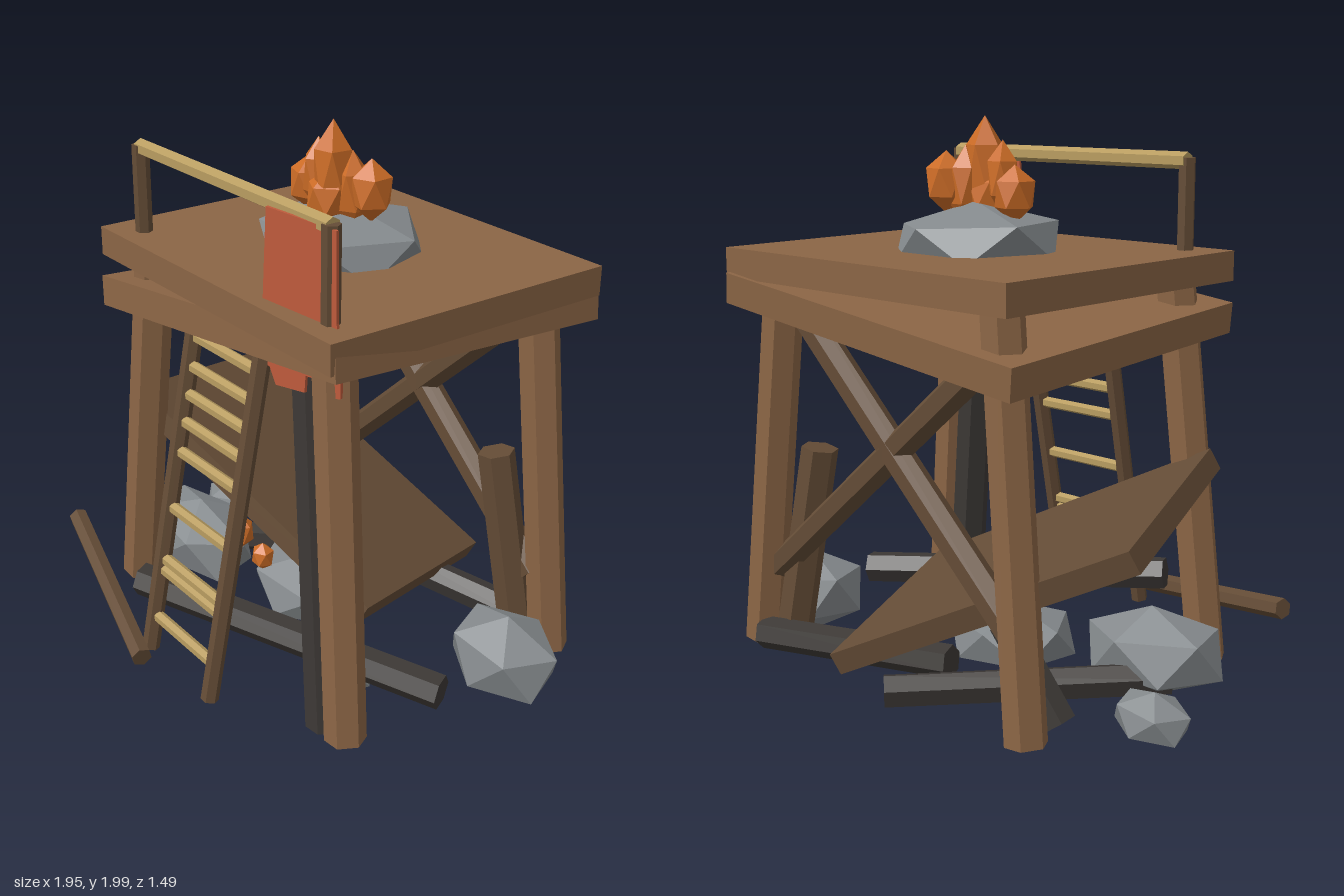
import * as THREE from 'three';

const mat = (name, color, side = THREE.FrontSide) => {
  const m = new THREE.MeshStandardMaterial({ color, flatShading: true, side });
  m.name = name;
  return m;
};

export function createModel() {
  const root = new THREE.Group();
  root.name = 'ruinedWatchtower';
  const wood = mat('wood', 0x8b6545);
  const darkWood = mat('dark wood', 0x644c36);
  const charred = mat('charred wood', 0x3c3835);
  const tan = mat('pale wood', 0xb89c60);
  const stone = mat('stone', 0x858a8d);
  const flame = mat('flame', 0xcc6c26);
  const cloth = mat('red cloth', 0xbe5b3c, THREE.DoubleSide);

  const add = (name, geo, material, pos = [0, 0, 0]) => {
    const m = new THREE.Mesh(geo, material);
    m.name = name;
    m.position.set(...pos);
    root.add(m);
    return m;
  };

  // Six-sided timber running from a to b
  const beam = (name, a, b, r, material) => {
    const A = new THREE.Vector3(...a), B = new THREE.Vector3(...b);
    const dir = B.clone().sub(A);
    const geo = new THREE.CylinderGeometry(r, r, dir.length(), 6).rotateY(Math.PI / 6);
    const m = add(name, geo, material, A.add(B).multiplyScalar(0.5).toArray());
    m.quaternion.setFromUnitVectors(new THREE.Vector3(0, 1, 0), dir.normalize());
    return m;
  };

  // Faceted lump with one corner pointing up, stretched to half-sizes s
  const lump = (name, pos, s, yaw, material, tilt = 0) => {
    const geo = new THREE.IcosahedronGeometry(1, 0).rotateZ(-0.5536).rotateY(yaw);
    geo.scale(...s).rotateZ(tilt);
    return add(name, geo, material, pos);
  };

  // Two decks, the lower one sagging
  add('upperDeck', new THREE.BoxGeometry(1.36, 0.105, 1.14), wood, [0.04, 1.492, -0.13]);
  const sag = add('saggingDeck', new THREE.BoxGeometry(1.36, 0.11, 1.14), wood, [0.04, 1.355, -0.13]);
  sag.rotation.set(-0.06, 0.015, 0.122);

  // Four splayed legs
  for (const [x0, x1] of [[-0.63, -0.49], [0.71, 0.57]]) {
    beam('frontLeg', [x0, 0.08, 0.355], [x1, 1.45, 0.31], 0.073, wood);
    beam('backLeg', [x0, 0.07, -0.6], [x1, 1.45, -0.56], 0.073, wood);
  }
  beam('charredPost', [0.58, 0.05, 0.34], [0.43, 1.42, 0.29], 0.07, charred);

  // Crossed braces on the back
  beam('backBrace', [-0.52, 1.36, -0.55], [0.64, 0.36, -0.57], 0.055, darkWood);
  beam('backBrace', [0.56, 1.4, -0.55], [-0.58, 0.38, -0.57], 0.055, darkWood);

  // Leaning ladder
  const ladderZ = y => 0.62 - (y - 0.1) * 0.195;
  for (const x of [-0.115, 0.28])
    beam('ladderRail', [x, 0.1, ladderZ(0.1)], [x, 1.39, ladderZ(1.39)], 0.032, darkWood);
  for (const y of [0.235, 0.42, 0.46, 0.66, 0.87, 0.98, 1.08, 1.18, 1.285])
    beam('ladderRung', [-0.09, y, ladderZ(y)], [0.255, y, ladderZ(y)], 0.022, tan);

  // Hand rail on the front edge
  for (const x of [-0.505, 0.59])
    beam('railPost', [x, 1.5, 0.34], [x, 1.86, 0.34], 0.031, darkWood);
  beam('handRail', [-0.51, 1.85, 0.335], [0.59, 1.85, 0.335], 0.03, tan);

  // Torn banner hanging through the deck edge
  const outline = [[-0.16, 1.85], [0.16, 1.85], [0.165, 1.56], [0.185, 1.42], [0.185, 1.32],
    [0.1, 1.295], [0.09, 1.35], [0.025, 1.345], [0.02, 1.285], [-0.12, 1.265], [-0.15, 1.32], [-0.18, 1.32], [-0.18, 1.54]];
  const banner = new THREE.Shape(outline.map(p => new THREE.Vector2(...p)));
  const flag = add('tornBanner', new THREE.ExtrudeGeometry(banner, { depth: 0.01, bevelEnabled: false }),
    cloth, [0.47, 0, 0.357]);
  flag.rotation.y = 0.085;

  // Signal fire on a stone hearth
  lump('hearthStone', [0.04, 1.57, -0.13], [0.33, 0.14, 0.32], 0.3, stone, -0.04);
  const flames = [
    [-0.12, 1.74, -0.11, 0.078, 0.1], [-0.045, 1.79, -0.09, 0.06, 0.13],
    [0.05, 1.82, -0.08, 0.075, 0.18], [0.105, 1.76, -0.12, 0.065, 0.14],
    [0.04, 1.73, -0.07, 0.085, 0.1], [0.17, 1.77, -0.15, 0.08, 0.11],
  ];
  flames.forEach(([x, y, z, r, h], i) => lump('signalFlame', [x, y, z], [r, h, r], i * 0.9, flame));

  // Small fire among the rubble
  lump('smallFlame', [-0.19, 0.395, 0.16], [0.052, 0.07, 0.05], 0.2, flame);
  lump('smallFlame', [-0.035, 0.365, 0.17], [0.048, 0.055, 0.045], 0.9, flame);

  // Fallen floor panel propped on the left side
  const u = new THREE.Vector3(1.08, -0.55, -0.28).normalize();
  const w = new THREE.Vector3(0.27, 0.13, 0.79).normalize();
  const panel = add('fallenPanel', new THREE.BoxGeometry(1.24, 0.08, 0.83), darkWood, [-0.265, 0.495, -0.205]);
  panel.quaternion.setFromRotationMatrix(new THREE.Matrix4().makeBasis(u, w.clone().cross(u), w));

  // Loose timbers
  beam('loosePlank', [-0.85, 0.275, 0.51], [-0.025, 0.14, 0.71], 0.038, darkWood);
  beam('leaningPlank', [0.6, 0.08, -0.55], [0.49, 0.82, -0.49], 0.068, darkWood);
  beam('charredBeam', [-0.3, 0.27, 0.54], [0.8, 0.17, 0.01], 0.062, charred);
  beam('charredBeam', [-0.05, 0.1, -0.68], [-0.7, 0.11, 0.05], 0.06, charred);
  beam('charredBeam', [0.66, 0.11, -0.64], [-0.12, 0.15, -0.43], 0.06, charred);
  beam('charredBeam', [-0.44, 0.4, -0.5], [-0.65, 0.1, -0.46], 0.06, charred);

  // Rubble stones
  const rocks = [
    [-0.6, 0.175, 0.09, 0.3, 0.16, 0.2], [-0.85, 0.11, -0.24, 0.15, 0.09, 0.12],
    [0.76, 0.175, -0.32, 0.235, 0.16, 0.19], [0.4, 0.1, 0.15, 0.15, 0.085, 0.13],
    [-0.08, 0.14, -0.08, 0.28, 0.13, 0.22],
  ];
  rocks.forEach(([x, y, z, a, b, c], i) => lump('rubbleStone', [x, y, z], [a, b, c], i * 0.7 + 0.2, stone, i % 2 ? 0.1 : -0.08));

  return root;
}
